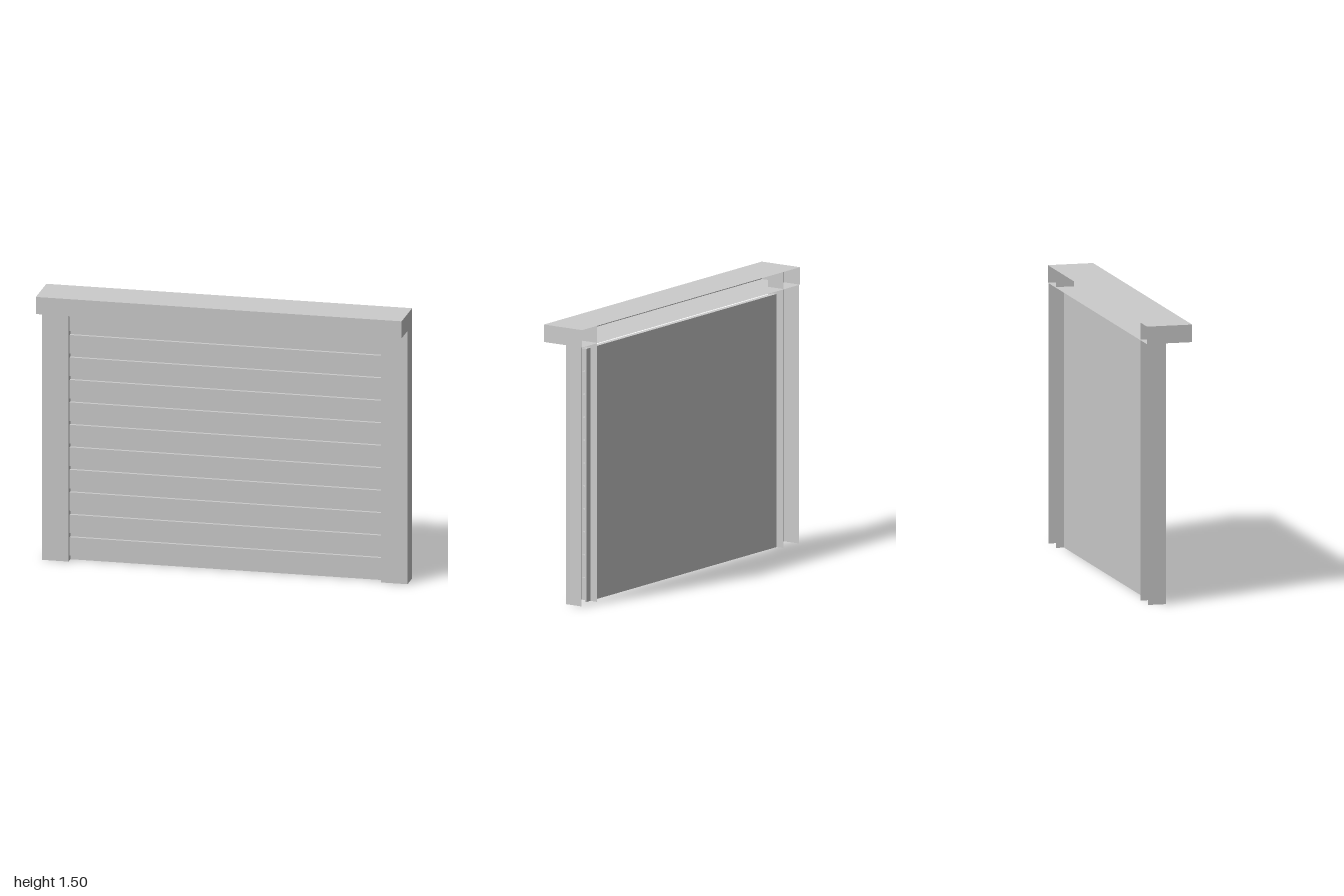
import * as THREE from 'three';

const sheetMat = new THREE.MeshStandardMaterial({ color: 0xcccccc, flatShading: true, side: THREE.DoubleSide });

// Thin sheet between two corners; the axis with equal values is its normal
function sheet(name, min, max) {
  const d = max.map((v, i) => v - min[i]);
  const axis = d.findIndex((v) => v === 0);
  const size = axis === 0 ? [d[2], d[1]] : axis === 1 ? [d[0], d[2]] : [d[0], d[1]];
  const geo = new THREE.PlaneGeometry(...size);
  if (axis === 0) geo.rotateY(Math.PI / 2);
  if (axis === 1) geo.rotateX(-Math.PI / 2);
  return place(name, geo, min, max);
}

function block(name, min, max) {
  return place(name, new THREE.BoxGeometry(...max.map((v, i) => v - min[i])), min, max);
}

function place(name, geo, min, max) {
  const mesh = new THREE.Mesh(geo, sheetMat);
  mesh.name = name;
  mesh.position.set(...min.map((v, i) => (v + max[i]) / 2));
  return mesh;
}

export function createModel() {
  const model = new THREE.Group();
  model.name = 'rollerShutter';

  const top = 1.505, under = 1.41, half = 0.125;
  const postFront = -0.02, postBack = -0.12, inner = 0.855;

  // Header housing, open at the back
  const header = new THREE.Group();
  header.name = 'headerHousing';
  header.add(
    sheet('headerTop', [-1, top, -half], [1, top, half]),
    sheet('headerFront', [-1, under, half], [1, top, half]),
    sheet('headerUnderside', [-1, under, -half], [1, under, half])
  );
  for (const s of [-1, 1]) header.add(sheet('headerEnd', [s, under, -half], [s, top, half]));
  model.add(header);

  // Guide posts: U-shaped channels open at the back, running up into the header
  for (const s of [-1, 1]) {
    const post = new THREE.Group();
    post.name = s > 0 ? 'leftGuidePost' : 'rightGuidePost';
    const outer = 0.999, h = top - 0.001;
    post.add(
      sheet('postFront', [Math.min(s * inner, s * outer), 0, postFront], [Math.max(s * inner, s * outer), h, postFront]),
      sheet('postOuterSide', [s * outer, 0, postBack], [s * outer, h, postFront]),
      sheet('postInnerSide', [s * inner, 0, postBack], [s * inner, h, postFront])
    );
    model.add(post);
  }

  // Curtain: flat backing with raised slats, its ends reaching into the guides
  const curtain = new THREE.Group();
  curtain.name = 'curtain';
  const reach = 0.89, back = -0.075, groove = -0.065, face = -0.047;
  curtain.add(block('curtainBacking', [-reach, 0, back], [reach, 1.378, groove]));
  for (let i = 0; i < 11; i++) {
    const y = 0.025 + i * 0.125;
    curtain.add(block('slat', [-reach, y, groove], [reach, y + 0.103, face]));
  }
  model.add(curtain);

  return model;
}
